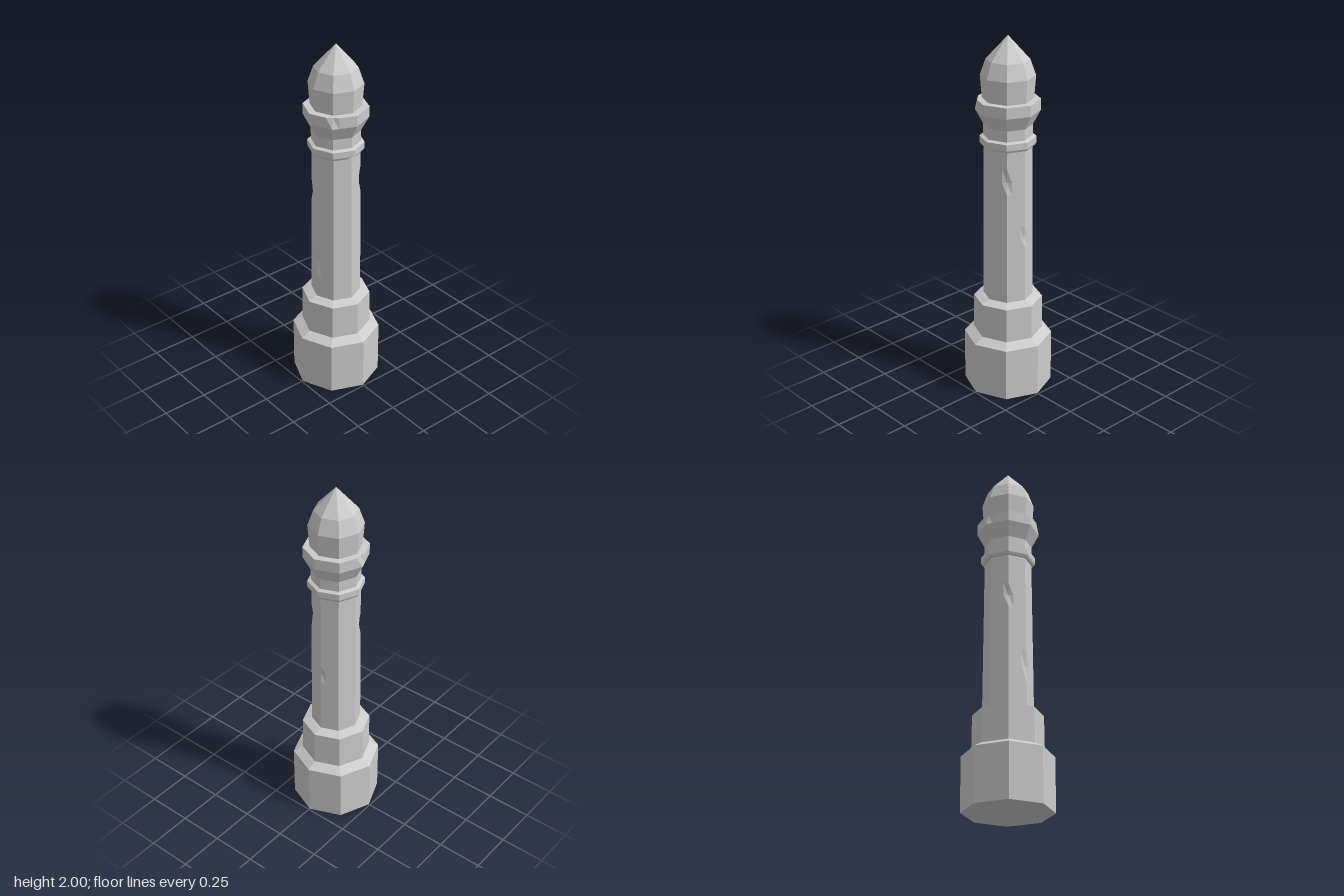
import * as THREE from 'three';

const SIDES = 8;
const COLS = SIDES * 3; // each side: a corner plus two columns beside the corners
const EDGE = 0.28;      // how far along a side the chip columns sit

// Octagonal turned part, corners on the axes.
// profile: [radius, y] from bottom to top.
// chips: [corner, row, radius factor, lift], corner 0 at +z, 2 at +x.
function octagonPart(name, profile, chips = []) {
  const geo = new THREE.LatheGeometry(profile.map(([r, y]) => new THREE.Vector2(r, y)), COLS);
  const pos = geo.attributes.position;
  const rows = profile.length;
  const step = (Math.PI * 2) / SIDES;
  for (let i = 0; i <= COLS; i++) {
    const corner = Math.floor(i / 3) % SIDES;
    const t = [0, EDGE, 1 - EDGE][i % 3];
    const a = corner * step, b = a + step;
    const sx = THREE.MathUtils.lerp(Math.sin(a), Math.sin(b), t);
    const sz = THREE.MathUtils.lerp(Math.cos(a), Math.cos(b), t);
    profile.forEach(([r, y], j) => {
      const chip = i % 3 === 0 && chips.find((c) => c[0] === corner && c[1] === j);
      const k = chip ? r * chip[2] : r;
      pos.setXYZ(i * rows + j, sx * k, y + (chip ? chip[3] : 0), sz * k);
    });
  }
  geo.computeVertexNormals();
  const mesh = new THREE.Mesh(geo, new THREE.MeshStandardMaterial({ color: 0xcccccc, flatShading: true }));
  mesh.name = name;
  return mesh;
}

export function createModel() {
  const group = new THREE.Group();
  group.name = 'stonePost';

  // Two-stepped plinth with bevelled tops
  group.add(octagonPart('plinth', [
    [0, 0], [0.243, 0], [0.243, 0.3], [0.19, 0.33], [0.188, 0.525], [0.133, 0.545],
  ]));

  // Tapered shaft with small chips knocked out of its corners
  const heights = [0.54, 0.68, 0.77, 0.86, 0.92, 0.98, 1.1, 1.17, 1.24, 1.32, 1.42];
  const shaft = heights.map((y) => [THREE.MathUtils.mapLinear(y, 0.54, 1.42, 0.136, 0.129), y]);
  group.add(octagonPart('shaft', shaft, [
    [0, 2, 0.91, 0], [4, 4, 0.93, 0], [7, 7, 0.91, 0], [3, 8, 0.91, 0],
  ]));

  // Thin collar, nicked under one corner
  group.add(octagonPart('collar', [
    [0.127, 1.412], [0.143, 1.412], [0.15, 1.425], [0.15, 1.46], [0.13, 1.468],
  ], [[2, 1, 0.95, 0.018]]));

  // Flared capital with two chipped top corners
  group.add(octagonPart('capital', [
    [0.131, 1.465], [0.131, 1.527], [0.172, 1.605], [0.172, 1.665], [0.13, 1.667],
  ], [[6, 3, 0.91, 0], [1, 3, 0.91, 0]]));

  // Pointed bud on top
  group.add(octagonPart('finial', [
    [0.135, 1.662], [0.145, 1.79], [0.115, 1.875], [0, 2],
  ]));

  return group;
}
